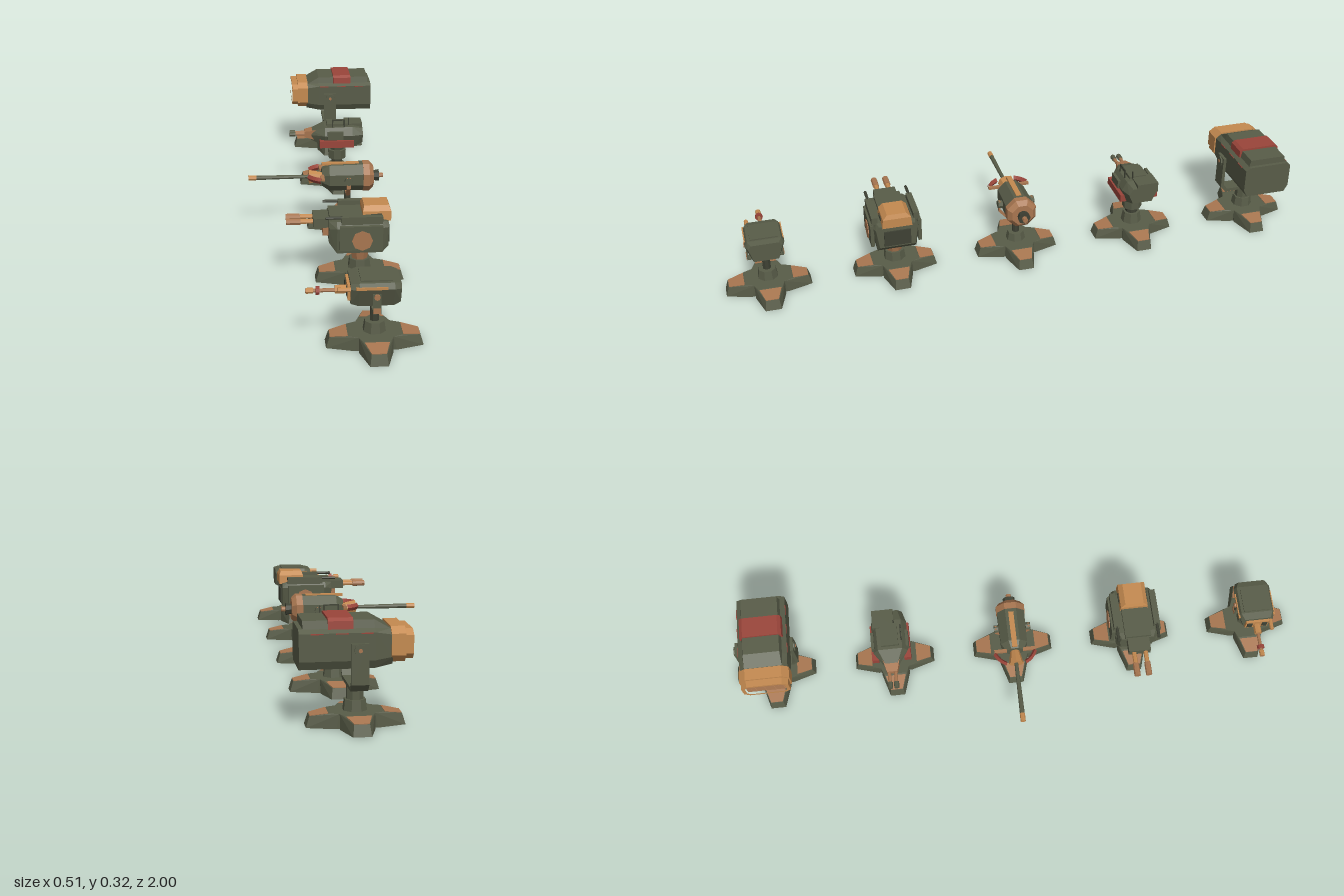
import * as THREE from 'three';
import { ConvexGeometry } from 'three/addons/geometries/ConvexGeometry.js';

const mat = (name, color) => {
  const m = new THREE.MeshStandardMaterial({ color, flatShading: true });
  m.name = name;
  return m;
};

export function createModel() {
  const green = mat('olive green', 0x585c48), dark = mat('dark olive', 0x3e4134);
  const orange = mat('orange', 0xc48a50), brown = mat('rust brown', 0xa87650), red = mat('red', 0x9a453a);
  const root = new THREE.Group();
  root.name = 'turretSet';
  let turret;

  const add = (name, geo, m) => {
    const mesh = new THREE.Mesh(geo, m);
    mesh.name = name;
    turret.add(mesh);
    return mesh;
  };
  // box given by its limits
  const box = (name, m, x0, x1, y0, y1, z0, z1) =>
    add(name, new THREE.BoxGeometry(x1 - x0, y1 - y0, z1 - z0), m).position.set((x0 + x1) / 2, (y0 + y1) / 2, (z0 + z1) / 2);
  // convex solid from points [x, y, z], mirrored across z
  const hull = (name, m, pts) => add(name, new ConvexGeometry(
    pts.flatMap(([x, y, z]) => [new THREE.Vector3(x, y, z), new THREE.Vector3(x, y, -z)])), m);
  // convex solid through stations [x, half section of [z, y]]
  const loft = (name, m, stations) => hull(name, m, stations.flatMap(([x, s]) => s.map(([z, y]) => [x, y, z])));
  // round part along x
  const tube = (name, m, x0, x1, y, z, r0, r1 = r0, sides = 8) => {
    const g = new THREE.CylinderGeometry(r0, r1, x1 - x0, sides, 1);
    g.rotateZ(Math.PI / 2);
    add(name, g, m).position.set((x0 + x1) / 2, y, z);
  };
  // round upright part at the turning axis
  const post = (name, m, y0, y1, rBottom, rTop = rBottom, sides = 8) => {
    const g = new THREE.CylinderGeometry(rTop, rBottom, y1 - y0, sides, 1);
    g.rotateY(Math.PI / sides);
    add(name, g, m).position.set(0.09, (y0 + y1) / 2, 0);
  };
  // disc facing sideways
  const disc = (name, m, x, y, z, r, depth, sides = 8) => {
    const g = new THREE.CylinderGeometry(r, r, depth, sides);
    g.rotateX(Math.PI / 2);
    add(name, g, m).position.set(x, y, z);
  };
  const shapeOf = pts => new THREE.Shape(pts.map(p => new THREE.Vector2(...p)));
  const fullLoop = half => [...half, ...half.map(([z, y]) => [-z, y]).reverse()];
  // outline in z and y, running from x1 towards -x
  const slab = (name, m, shape, x1, depth) => {
    const g = new THREE.ExtrudeGeometry(shape, { depth, bevelEnabled: false });
    g.rotateY(-Math.PI / 2);
    add(name, g, m).position.x = x1;
  };
  // U-shaped cradle, half outlines run from arm top to bottom
  const yoke = (m, outer, inner, width) => slab('yoke', m, shapeOf([...outer,
    ...outer.map(([z, y]) => [-z, y]).reverse(), ...inner.map(([z, y]) => [-z, y]),
    ...[...inner].reverse()]), 0.09 + width / 2, width);

  // four-legged foot with painted leg tops
  const foot = () => {
    for (let i = 0; i < 4; i++) {
      const leg = [hull('footLeg', green, [[0.142, 0, 0.026], [0.132, 0.033, 0.022], [0.074, 0.043, 0.04],
        [0.05, 0.043, 0.05], [0.06, 0, 0.05], [0, 0, 0.045], [0, 0.043, 0.045]]),
      hull('legPaint', brown, [[0.131, 0.031, 0.021], [0.131, 0.035, 0.021], [0.08, 0.04, 0.036], [0.08, 0.0435, 0.036]])];
      leg.forEach(p => { p.rotation.y = i * Math.PI / 2; p.position.x = 0.09; });
    }
  };
  const start = (name, z) => {
    turret = new THREE.Group();
    turret.name = name;
    turret.position.z = z;
    root.add(turret);
    foot();
  };
  const sides = f => [-1, 1].forEach(f);

  // light gun
  start('lightTurret', 0.86);
  post('pedestal', green, 0.043, 0.075, 0.035, 0.03);
  post('pole', dark, 0.07, 0.13, 0.014);
  yoke(green, [[0.06, 0.185], [0.06, 0.122]], [[0.055, 0.185], [0.055, 0.127]], 0.024);
  loft('body', green, [
    [0.016, [[0.045, 0.212], [0.055, 0.198], [0.04, 0.147]]],
    [0.04, [[0.055, 0.217], [0.064, 0.2], [0.042, 0.14]]],
    [0.14, [[0.055, 0.217], [0.064, 0.2], [0.042, 0.14]]],
    [0.16, [[0.045, 0.212], [0.055, 0.198], [0.04, 0.15]]]]);
  box('topPlate', green, 0.045, 0.135, 0.215, 0.221, -0.045, 0.045);
  box('frontPanel', orange, 0.008, 0.018, 0.158, 0.202, -0.04, 0.04);
  sides(s => {
    disc('pivot', brown, 0.09, 0.176, s * 0.06, 0.009, 0.012);
    box('armHinge', brown, 0.079, 0.101, 0.124, 0.14, s * 0.06 - 0.002, s * 0.06 + 0.002);
    box('sideStripe', orange, 0.03, 0.12, 0.199, 0.207, s * 0.061 - 0.003, s * 0.061 + 0.003);
    box('frontVent', dark, 0.005, 0.012, 0.168, 0.194, s * 0.026 - 0.009, s * 0.026 + 0.009);
  });
  tube('barrelRoot', orange, -0.025, 0.02, 0.175, 0, 0.013);
  tube('barrel', brown, -0.11, -0.02, 0.173, 0, 0.006);
  tube('muzzle', orange, -0.108, -0.088, 0.173, 0, 0.009);
  tube('barrelBand', red, -0.08, -0.069, 0.173, 0, 0.013);
  tube('sideGun', orange, -0.022, 0.03, 0.195, 0.046, 0.007);

  // twin heavy gun
  start('twinTurret', 0.43);
  post('pedestal', green, 0.043, 0.075, 0.038, 0.034);
  post('neck', brown, 0.075, 0.12, 0.026, 0.036);
  loft('body', green, [
    [-0.012, [[0.055, 0.222], [0.062, 0.2], [0.055, 0.15]]],
    [0.012, [[0.065, 0.225], [0.076, 0.205], [0.066, 0.118]]],
    [0.155, [[0.065, 0.225], [0.076, 0.205], [0.066, 0.118]]],
    [0.175, [[0.06, 0.22], [0.07, 0.205], [0.06, 0.138]]]]);
  box('roof', green, -0.01, 0.1, 0.222, 0.236, -0.045, 0.045);
  hull('ammoBox', orange, [[0.095, 0.218, 0.05], [0.184, 0.218, 0.05], [0.184, 0.25, 0.047], [0.178, 0.265, 0.032],
    [0.1, 0.265, 0.032], [0.095, 0.25, 0.047]]);
  sides(s => box('ammoBoxSlot', dark, 0.12, 0.155, 0.232, 0.242, s * 0.049 - 0.002, s * 0.049 + 0.002));
  box('backPanel', dark, 0.172, 0.18, 0.145, 0.2, -0.045, 0.045);
  box('gunMount', green, -0.06, 0, 0.195, 0.225, -0.038, 0.038);
  box('lowerMount', brown, -0.03, 0, 0.165, 0.195, -0.03, 0.03);
  sides(s => {
    const z = s * 0.08;
    box('sideArmor', green, 0.02, 0.155, 0.135, 0.215, z - 0.006, z + 0.006);
    box('sideRail', green, 0.025, 0.155, 0.22, 0.245, s * 0.07 - 0.01, s * 0.07 + 0.01);
    tube('sideBarrel', dark, -0.024, 0.03, 0.241, s * 0.07, 0.005);
    disc('camoPatch', brown, 0.09, 0.168, s * 0.087, 0.033, 0.004);
    tube('barrel', orange, -0.11, -0.05, 0.211, s * 0.02, 0.008);
    tube('muzzle', brown, -0.145, -0.1, 0.211, s * 0.02, 0.011);
  });

  // long gun
  start('longTurret', 0);
  post('pedestal', green, 0.043, 0.07, 0.034, 0.028);
  post('pole', dark, 0.07, 0.13, 0.012);
  yoke(brown, [[0.061, 0.2], [0.061, 0.16], [0.03, 0.125]], [[0.055, 0.2], [0.055, 0.163], [0.027, 0.131]], 0.014);
  const octagon = (r, y = 0.187) => [[r * 0.41, y + r], [r, y + r * 0.41], [r, y - r * 0.41], [r * 0.41, y - r]];
  loft('body', green, [[0, octagon(0.03)], [0.025, octagon(0.046)], [0.145, octagon(0.048)]]);
  loft('rearCap', brown, [[0.143, octagon(0.05)], [0.165, octagon(0.05)], [0.18, octagon(0.036)]]);
  tube('rearKnob', dark, 0.178, 0.2, 0.187, 0, 0.018, 0.022);
  tube('rearPin', brown, 0.2, 0.215, 0.187, 0, 0.009);
  box('topRail', orange, 0.0, 0.13, 0.23, 0.238, -0.009, 0.009);
  tube('barrelRoot', orange, -0.045, 0.01, 0.187, 0, 0.026, 0.014);
  tube('barrel', green, -0.235, -0.04, 0.188, 0, 0.0085, 0.0065);
  tube('muzzle', orange, -0.257, -0.228, 0.188, 0, 0.009);
  sides(s => {
    disc('pivot', green, 0.09, 0.187, s * 0.056, 0.014, 0.016);
    box('guardStrut', brown, -0.006, 0.006, 0.196, 0.204, s * 0.05 - 0.022, s * 0.05 + 0.022);
    // curved guard beside the barrel root
    const arc = new THREE.TorusGeometry(0.075, 0.007, 4, 6, 0.75);
    arc.rotateX(Math.PI / 2);
    arc.rotateY(s > 0 ? -1.95 : -3.58);
    arc.scale(1, 1.6, 1);
    add('curvedGuard', arc, red).position.set(0.021, 0.197, 0);
  });

  // compact twin gun
  start('compactTurret', -0.43);
  post('pedestal', green, 0.043, 0.08, 0.036, 0.03);
  post('neck', dark, 0.08, 0.1, 0.022);
  post('swivel', green, 0.1, 0.135, 0.034, 0.036);
  post('swivelTop', green, 0.135, 0.16, 0.026, 0.034);
  loft('body', green, [
    [-0.01, [[0.02, 0.215], [0.026, 0.2], [0.02, 0.18]]],
    [0.04, [[0.042, 0.232], [0.06, 0.205], [0.042, 0.158]]],
    [0.145, [[0.045, 0.236], [0.062, 0.205], [0.045, 0.156]]],
    [0.185, [[0.035, 0.226], [0.05, 0.205], [0.035, 0.17]]]]);
  box('roof', green, 0.05, 0.13, 0.228, 0.244, -0.03, 0.03);
  box('rearBox', green, 0.12, 0.185, 0.205, 0.24, -0.055, 0.02);
  loft('nose', brown, [[-0.035, [[0.018, 0.211], [0.018, 0.189]]], [0.025, [[0.034, 0.222], [0.034, 0.177]]]]);
  sides(s => {
    tube('barrel', brown, -0.09, -0.03, 0.2, s * 0.011, 0.006);
    tube('muzzle', green, -0.092, -0.07, 0.2, s * 0.011, 0.009);
    box('sidePod', red, 0.02, 0.15, 0.161, 0.187, s * 0.056 - 0.012, s * 0.056 + 0.012);
    box('sidePlate', green, 0.05, 0.11, 0.192, 0.222, s * 0.06 - 0.005, s * 0.06 + 0.005);
    box('handlePost', dark, 0.09 + s * 0.022, 0.094 + s * 0.022, 0.235, 0.264, 0.04, 0.044);
  });
  box('handleBar', dark, 0.068, 0.116, 0.261, 0.265, 0.04, 0.044);
  box('antenna', dark, 0.13, 0.134, 0.235, 0.265, 0.018, 0.022);

  // large launcher box
  start('launcherTurret', -0.86);
  post('pedestal', green, 0.043, 0.075, 0.036, 0.032);
  post('neck', green, 0.075, 0.118, 0.026);
  yoke(green, [[0.1, 0.25], [0.1, 0.135], [0.08, 0.114]], [[0.089, 0.25], [0.089, 0.14], [0.075, 0.125]], 0.05);
  const section = [[0.066, 0.289], [0.083, 0.278], [0.083, 0.2], [0.07, 0.176]];
  loft('body', green, [
    [-0.005, [[0.062, 0.286], [0.08, 0.27], [0.08, 0.208], [0.066, 0.186]]],
    [0.045, section], [0.257, section]]);
  loft('topRidge', green, [[0, [[0.064, 0.285]]], [0.045, [[0.062, 0.311], [0.068, 0.285]]], [0.245, [[0.062, 0.311], [0.068, 0.285]]]]);
  const rim = [[0.062, 0.291], [0.085, 0.273], [0.085, 0.212], [0.066, 0.192]];
  loft('frontCollar', orange, [[-0.04, rim], [0, rim]]);
  const frame = shapeOf(fullLoop([[0.06, 0.283], [0.08, 0.268], [0.08, 0.216], [0.062, 0.199]]));
  frame.holes.push(new THREE.Path(fullLoop([[0.056, 0.274], [0.068, 0.262], [0.068, 0.222], [0.056, 0.209]])
    .map(p => new THREE.Vector2(...p))));
  slab('frontFrame', orange, frame, -0.04, 0.023);
  box('frontBack', dark, -0.043, -0.039, 0.212, 0.272, -0.06, 0.06);
  for (let i = 0; i < 5; i++) box('louver', brown, -0.057, -0.042, 0.216 + i * 0.011, 0.221 + i * 0.011, -0.066, 0.066);
  loft('topBand', red, [0.105, 0.175].map(x => [x, [[0.06, 0.318], [0.071, 0.31], [0.073, 0.287]]]));
  sides(s => {
    disc('pivot', green, 0.09, 0.232, s * 0.1, 0.018, 0.01);
    disc('pivotBolt', brown, 0.09, 0.232, s * 0.105, 0.006, 0.004);
    for (const x of [0.05, 0.12, 0.19]) box('sideSlot', red, x, x + 0.035, 0.275, 0.278, s * 0.083 - 0.002, s * 0.083 + 0.002);
  });
  return root;
}
